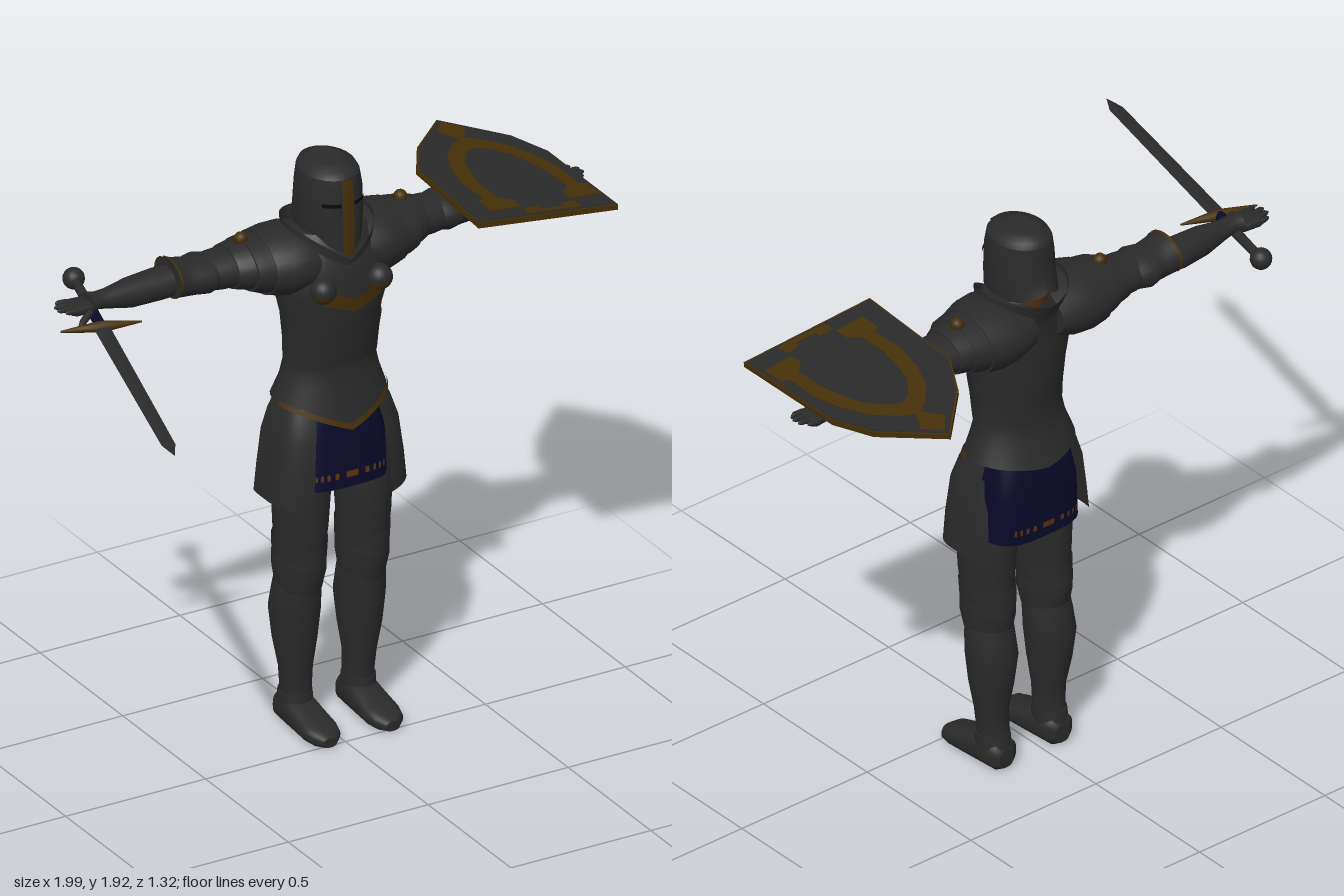
import * as THREE from 'three';

const mat = (name, color) => {
  const m = new THREE.MeshStandardMaterial({ color, side: THREE.DoubleSide });
  m.name = name;
  return m;
};
const steel = mat('dark steel', 0x2a2a2a);
const gold = mat('old gold', 0x453008);
const navy = mat('navy cloth', 0x09092a);
const copper = mat('copper', 0x5f3310);
const black = mat('eye slit black', 0x080808);

// Skin over elliptical rows [y, rx, rz, cz, dip, cx]; dip lowers the front into a V.
// a0..a1 gives a partial plate (0 = front, + = toward +x); p < 1 makes the section boxier.
function loft(rows, { a0 = 0, a1 = Math.PI * 2, seg = 28, p = 1, back = 0, grow = 0, open = false } = {}) {
  const full = a1 - a0 > 6.28, n = full ? seg : seg + 1;
  const tip = r => [r[0], 0, 0, r[3], r[4], r[5]];
  const first = rows[0], last = rows[rows.length - 1];
  const all = full && !open ? [tip(first), first, ...rows, last, tip(last)] : rows;
  const pow = v => Math.sign(v) * Math.abs(v) ** p;
  const pos = [], idx = [];
  all.forEach(([y, rx, rz, cz = 0, dip = 0, cx = 0], i) => {
    for (let j = 0; j < n; j++) {
      const a = a0 + (a1 - a0) * j / seg, s = Math.sin(a), c = Math.cos(a);
      const drop = dip * (1 - Math.abs(s)) * (c > 0 ? 1 : back);
      pos.push(cx + pow(s) * (rx && rx + grow), y - drop, cz + pow(c) * (rz && rz + grow));
      if (i && (full || j < seg)) {
        const k = (j + 1) % n, d = i * n, b = d - n;
        idx.push(b + j, b + k, d + k, b + j, d + k, d + j);
      }
    }
  });
  const g = new THREE.BufferGeometry();
  g.setAttribute('position', new THREE.Float32BufferAttribute(pos, 3));
  g.setIndex(idx);
  g.computeVertexNormals();
  return g;
}
// Mirror an indexed geometry across x, keeping faces outward
function mirrored(src) {
  const g = src.clone().scale(-1, 1, 1), ix = g.index.array;
  for (let i = 0; i < ix.length; i += 3) [ix[i], ix[i + 1]] = [ix[i + 1], ix[i]];
  g.computeVertexNormals();
  return g;
}
function add(parent, name, geo, material, x = 0, y = 0, z = 0) {
  const m = new THREE.Mesh(geo, material);
  m.name = name;
  m.position.set(x, y, z);
  parent.add(m);
}
function addPair(parent, name, geo, material) {
  add(parent, name + 'Left', geo, material);
  add(parent, name + 'Right', mirrored(geo), material);
}

function buildTorso(b) {
  add(b, 'cuirass', loft([[1.13, .19, .145, -.19, .075], [1.2, .165, .115, -.185, .03], [1.25, .155, .1, -.185],
    [1.33, .157, .115, -.18], [1.42, .167, .13, -.175], [1.5, .19, .134, -.17], [1.58, .2, .13, -.175],
    [1.65, .18, .115, -.185], [1.7, .12, .09, -.19]], { back: .4, seg: 40 }), steel);
  add(b, 'cuirassTrim', loft([[1.125, .192, .147, -.19, .08], [1.14, .187, .142, -.19, .075]],
    { a0: -1.4, a1: 1.4, grow: .004 }), gold);
  add(b, 'plackart', loft([[1.25, .155, .1, -.185], [1.33, .157, .115, -.18, -.02], [1.38, .162, .124, -.177, -.05]],
    { a0: -1.4, a1: 1.4, grow: .006 }), steel);
  add(b, 'gorget', loft([[1.57, .18, .14, -.178, .1], [1.65, .165, .132, -.185, .09], [1.68, .145, .137, -.195, .09],
    [1.725, .145, .15, -.2, .1]], { open: true, seg: 40, back: .3 }), steel);
  add(b, 'chestTrim', loft([[1.535, .2, .14, -.17, .075], [1.575, .205, .144, -.17, .065]],
    { a0: -.5, a1: .5, grow: .008 }), gold);
  // Breast bosses, gold underneath
  const split = Math.PI * .58;
  const up = new THREE.SphereGeometry(.042, 20, 10, 0, Math.PI * 2, 0, split);
  const low = new THREE.SphereGeometry(.042, 20, 8, 0, Math.PI * 2, split, Math.PI - split);
  for (const s of [-1, 1]) {
    add(b, 'breastBoss', up, steel, s * .1, 1.545, -.048);
    add(b, 'breastBossTrim', low, gold, s * .1, 1.545, -.048);
  }
}

function buildSkirt(b) {
  add(b, 'hips', loft([[.86, .14, .09, -.185], [1.0, .14, .09, -.19], [1.16, .14, .08, -.19]]), steel);
  add(b, 'skirtCloth', loft([[.85, .172, .143, -.186], [1.0, .166, .131, -.194], [1.08, .15, .116, -.197],
    [1.13, .14, .1, -.197]], { p: .6, open: true, seg: 48 }), navy);
  // Row of small copper marks along the hem
  for (const mid of [0, Math.PI]) for (let i = -4; i <= 4; i++) {
    const a = mid + i * .14;
    add(b, 'hemMark', loft([[.885, .172, .142, -.187], [.905, .172, .142, -.188]],
      { a0: a - .03, a1: a + .03, p: .6, grow: .004, seg: 4 }), copper);
  }
  addPair(b, 'tasset', loft([[.81, .238, .15, -.185, .03], [.9, .228, .15, -.185], [1.02, .212, .143, -.187],
    [1.09, .19, .125, -.19], [1.13, .172, .11, -.19]], { a0: .42, a1: 1.78, p: .6, seg: 20 }), steel);
}

function buildHead(b) {
  const helm = [[1.7, .098, .136, -.2, .07], [1.76, .104, .124, -.192, .02], [1.84, .1, .121, -.19], [1.89, .092, .115, -.192]];
  add(b, 'neck', loft([[1.64, .075, .085, -.2], [1.76, .08, .11, -.205]]), copper);
  add(b, 'helmet', loft(helm, { open: true, back: -.6, seg: 36 }), steel);
  add(b, 'helmetCrown', loft([[1.89, .092, .115, -.192], [1.908, .082, .104, -.195], [1.92, .05, .065, -.2]]), steel);
  add(b, 'noseBar', loft(helm, { a0: -.19, a1: .19, grow: .005, seg: 8 }), gold);
  const face = [.104, .124, -.191];
  for (const s of [-1, 1])
    add(b, 'eyeSlit', loft([[1.802, ...face], [1.815, ...face]],
      { a0: s * .5 - .28, a1: s * .5 + .28, grow: .002, seg: 8 }), black);
}

// Arm rows run outward: [distance, half height, half depth, cz, dip, drop]
function buildArms(b) {
  const arm = (name, rows, material = steel, opt) =>
    addPair(b, name, loft(rows, opt).rotateZ(-Math.PI / 2).translate(0, 1.61, 0), material);
  const z = -.235;
  arm('shoulderPlate', [[.05, .085, .13, -.215], [.12, .105, .15, -.213, 0, .005], [.18, .108, .146, -.217, 0, .008],
    [.235, .098, .13, -.224, 0, .008]]);
  arm('middlePlate', [[.2, .098, .13, -.222, 0, .008], [.26, .088, .122, -.224, 0, .004], [.29, .08, .113, -.225]]);
  arm('lowerPlate', [[.25, .084, .115, -.225], [.31, .074, .1, -.23], [.34, .067, .088, z]]);
  arm('upperArm', [[.3, .064, .085, z], [.38, .06, .08, z], [.46, .054, .066, -.24]]);
  arm('elbowGuard', [[.39, .055, .075, -.24], [.43, .06, .092, -.24], [.47, .058, .076, -.24], [.51, .06, .078, -.24, 0, -.006],
    [.54, .063, .082, -.24, 0, -.012]]);
  arm('elbowTrim', [[.534, .064, .083, -.24, 0, -.012], [.542, .065, .084, -.24, 0, -.012]], gold, { open: true });
  arm('forearm', [[.5, .05, .056, -.245], [.58, .05, .058, -.25, 0, .005], [.68, .048, .048, -.245, 0, .006],
    [.76, .032, .034, -.242, 0, .004], [.8, .027, .032, -.24], [.83, .032, .042, -.24]]);
  arm('palm', [[.815, .012, .032, -.242, 0, .007], [.83, .017, .041, -.242, 0, .007], [.885, .017, .044, -.245, 0, .007],
    [.9, .012, .038, -.245, 0, .007]], steel, { p: .6 });
  for (let i = 0; i < 4; i++) {
    const tip = [.925, .94, .938, .92][i], fz = -.21 - i * .024;
    arm('finger', [[.88, .011, .011, fz, 0, .004], [tip - .01, .009, .009, fz], [tip, .003, .003, fz]], steel, { seg: 8 });
  }
  const thumb = loft([[0, .013, .013], [.05, .011, .011], [.07, .004, .004]], { seg: 8 });
  addPair(b, 'thumb', thumb.rotateZ(-1.9).rotateY(-.5).translate(.84, 1.595, -.205), steel);
  addPair(b, 'shoulderStud', new THREE.SphereGeometry(.022, 14, 10).translate(.285, 1.693, z), gold);
}

function buildLegs(b) {
  const leg = (name, rows, opt) => addPair(b, name, loft(rows, opt), steel);
  leg('thigh', [[.58, .072, .088, -.175, 0, .113], [.7, .082, .1, -.168, 0, .112], [.85, .091, .105, -.167, 0, .11],
    [.95, .085, .094, -.175, 0, .105], [1.05, .07, .08, -.185, 0, .09]]);
  leg('thighRim', [[.6, .08, .1, -.175, .02, .112], [.66, .083, .1, -.172, .02, .112]], { open: true });
  leg('kneeGuard', [[.49, .072, .08, -.178, .02, .113], [.55, .081, .096, -.175, .01, .113], [.6, .079, .1, -.175, 0, .113],
    [.63, .073, .09, -.175, 0, .113]]);
  leg('greave', [[.08, .05, .057, -.2, 0, .112], [.14, .05, .054, -.197, 0, .112], [.2, .054, .055, -.194, 0, .114],
    [.3, .07, .074, -.196, 0, .116], [.4, .08, .087, -.197, 0, .116], [.47, .077, .082, -.187, 0, .115], [.53, .07, .078, -.18, 0, .113]]);
  leg('ankleGuard', [[.07, .054, .064, -.2, 0, .113], [.115, .053, .059, -.198, 0, .113]]);
  // Foot rows run from heel to toe
  const foot = loft([[-.265, .028, .03, -.04], [-.25, .05, .048, -.05], [-.18, .056, .052, -.052], [-.12, .058, .042, -.042],
    [-.05, .06, .031, -.031], [-.01, .05, .026, -.026], [.015, .024, .016, -.018]], { p: .75 });
  addPair(b, 'foot', foot.rotateX(Math.PI / 2).translate(.112, 0, 0), steel);
}

function buildShield(root) {
  const g = new THREE.Group();
  g.name = 'shield';
  g.position.set(.72, 1.648, 0);
  g.rotation.z = -.1;
  // pts are [x, z]; k shrinks the outline about its middle
  const slab = (name, pts, depth, y, material, k = 1) => {
    const shape = new THREE.Shape(pts.map(([x, z]) => new THREE.Vector2(x * k, -((z + .25) * k - .25))));
    const geo = new THREE.ExtrudeGeometry(shape, { depth, bevelEnabled: false }).rotateX(-Math.PI / 2);
    add(g, name, geo, material, 0, y, 0);
  };
  const outline = [[0, -.67], [.16, -.49], [.21, -.35], [.21, .075], [-.275, .05], [-.25, -.37], [-.165, -.51]];
  slab('shieldRim', outline, .018, 0, gold);
  slab('shieldFace', outline, .004, .0165, steel, .977);
  slab('shieldBack', outline, .004, -.0025, steel, .977);
  // Gold arch with stepped feet, mirrored about the long axis
  const half = [[0, -.52], [.05, -.49], [.11, -.42], [.15, -.33], [.175, -.22], [.17, -.1], [.195, -.09], [.195, -.01],
    [.09, -.01], [.09, -.06], [.125, -.09], [.125, -.2], [.11, -.27], [.09, -.35], [.04, -.42], [0, -.44]];
  slab('shieldArch', [...half, ...half.slice(1, -1).reverse().map(([x, z]) => [-x, z])], .004, .0185, gold);
  slab('shieldTip', [[0, -.645], [.05, -.585], [0, -.5], [-.05, -.585]], .004, .0185, gold);
  slab('shieldTab', [[-.09, .005], [-.04, .005], [-.04, .03], [.04, .03], [.04, .01], [.09, .01], [.09, .055], [-.09, .045]],
    .004, .0185, gold);
  root.add(g);
  // Forearm straps
  for (const x of [.62, .77])
    add(root, 'shieldStrap', loft([[-.02, .05, .06], [.02, .05, .06]], { open: true }).rotateZ(-Math.PI / 2), navy, x, 1.608, -.245);
}

// Sword runs from the pommel along its own +z
function buildSword(root) {
  const g = new THREE.Group();
  g.name = 'sword';
  g.position.set(-.717, 1.595, -.43);
  g.lookAt(-.995, 1.525, .65);
  const along = (rows, opt) => loft(rows, opt).rotateX(Math.PI / 2);
  const blade = along([[.3, .026, .005], [1.05, .022, .004], [1.117, .001, .001]], { seg: 4 }).toNonIndexed();
  blade.computeVertexNormals();
  add(g, 'blade', blade, steel);
  add(g, 'grip', along([[.19, .017, .017], [.3, .017, .017]]), navy);
  add(g, 'gripEnd', along([[0, .014, .014], [.19, .017, .017]]), steel);
  add(g, 'pommel', new THREE.SphereGeometry(.035, 18, 12), steel);
  add(g, 'crossguard', loft([[-.13, .003, .003], [-.06, .012, .012], [0, .02, .018], [.06, .012, .012], [.13, .003, .003]],
    { seg: 8 }).rotateZ(-Math.PI / 2), gold, 0, 0, .305);
  root.add(g);
}

export function createModel() {
  const root = new THREE.Group();
  root.name = 'knight';
  const body = new THREE.Group();
  body.name = 'body';
  body.position.x = .05;
  root.add(body);
  [buildTorso, buildSkirt, buildHead, buildArms, buildLegs].forEach(build => build(body));
  buildShield(root);
  buildSword(root);
  return root;
}
